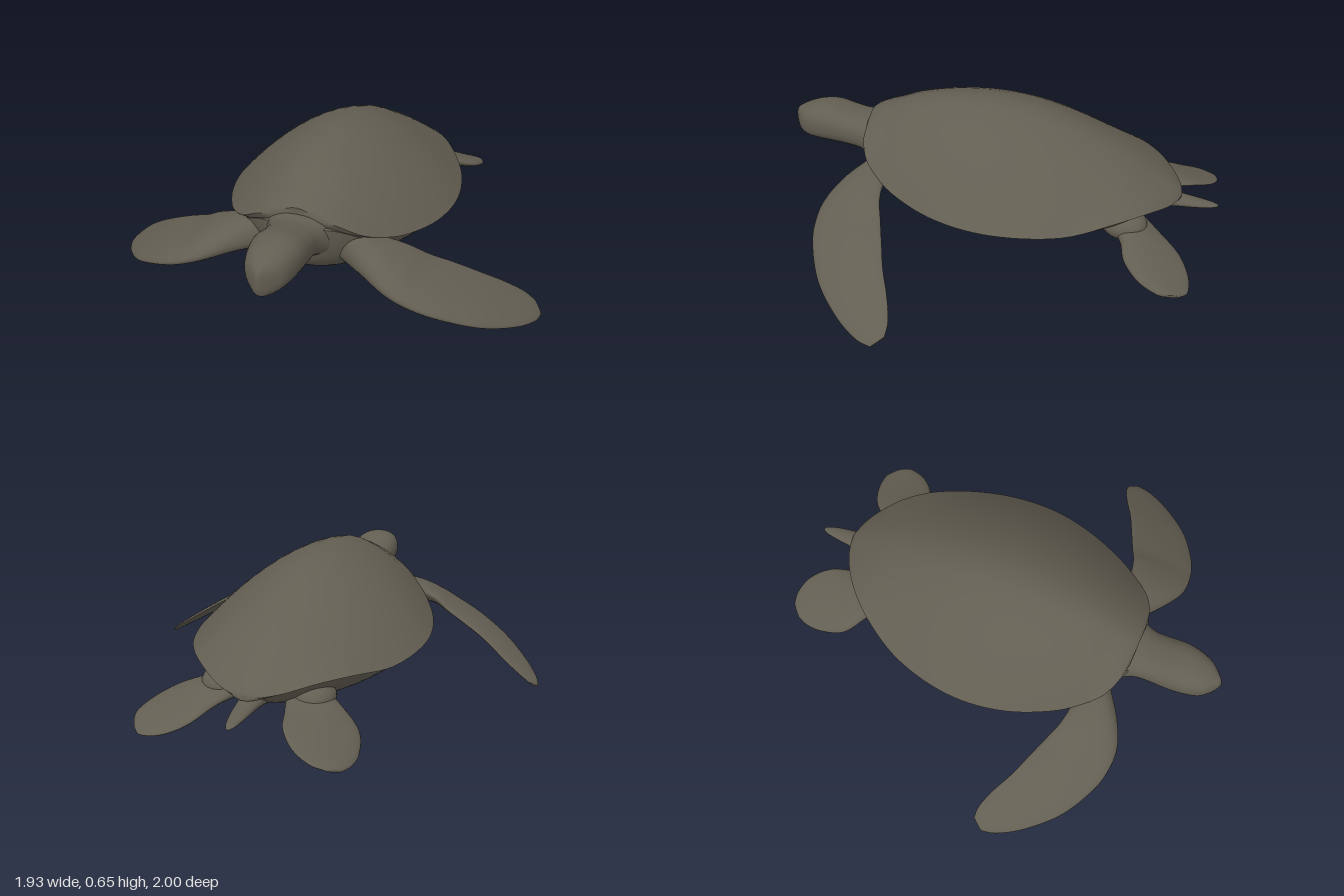
import * as THREE from 'three';
import { toCreasedNormals } from 'three/addons/utils/BufferGeometryUtils.js';

const skin = new THREE.MeshStandardMaterial({ color: 0x635e52 });
skin.name = 'olive grey';

// Smoothly resample a list of stations (rows of numbers)
function resample(rows, count) {
  const size = rows[0].length;
  const curve = new THREE.CubicInterpolant(rows.map((_, i) => i), rows.flat(), size);
  return Array.from({ length: count + 1 }, (_, i) =>
    Array.from(curve.evaluate((i / count) * (rows.length - 1))));
}

// Closed surface through rings of equal length, capped at both ends
function loft(rings) {
  const n = rings[0].length;
  const pts = rings.flat();
  const index = [];
  const last = (rings.length - 1) * n;
  for (let i = 0; i < rings.length - 1; i++) {
    for (let j = 0; j < n; j++) {
      const a = i * n + j, b = i * n + ((j + 1) % n);
      index.push(a, b, a + n, b, b + n, a + n);
    }
  }
  const middle = (ring) => ring.reduce((s, p) => s.add(p), new THREE.Vector3()).divideScalar(n);
  const c0 = pts.push(middle(rings[0])) - 1;
  const c1 = pts.push(middle(rings[rings.length - 1])) - 1;
  for (let j = 0; j < n; j++) {
    const k = (j + 1) % n;
    index.push(c0, k, j, c1, last + j, last + k);
  }
  // Turn the faces outward if the enclosed volume is negative
  let volume = 0;
  const cross = new THREE.Vector3();
  for (let i = 0; i < index.length; i += 3) {
    volume += pts[index[i]].dot(cross.crossVectors(pts[index[i + 1]], pts[index[i + 2]]));
  }
  if (volume < 0) index.reverse();
  const geo = new THREE.BufferGeometry().setFromPoints(pts);
  geo.setIndex(index);
  geo.computeVertexNormals();
  return geo;
}

// Half of a hull section: rises (or falls) from the rim by a power curve
function hull(rows, power, lip) {
  const half = 28;
  return loft(resample(rows, 64).map(([z, w, rim, peak]) => {
    const ring = [];
    for (let j = 0; j <= half; j++) {
      const u = -Math.cos((j / half) * Math.PI);
      ring.push(new THREE.Vector3(u * w, rim + (peak - rim) * (1 - Math.abs(u) ** power), z));
    }
    for (let j = 1; j < 8; j++) ring.push(new THREE.Vector3(w * 0.96 * (1 - j / 4), rim + lip, z));
    return ring;
  }));
}

// Rounded tube along z: rows of z, x, y, half width, half height
function tube(rows, squareness) {
  const bend = (v) => Math.sign(v) * Math.abs(v) ** squareness;
  return loft(resample(rows, 48).map(([z, x, y, w, h]) =>
    Array.from({ length: 32 }, (_, j) => {
      const a = (j / 32) * Math.PI * 2;
      return new THREE.Vector3(x + bend(Math.cos(a)) * w, y + bend(Math.sin(a)) * h, z);
    })));
}

// Flipper: rows of leading edge xyz, trailing edge xyz, half thickness
function flipper(rows) {
  const rings = resample(rows, 48);
  const mid = (r) => new THREE.Vector3(r[0] + r[3], r[1] + r[4], r[2] + r[5]).multiplyScalar(0.5);
  const span = mid(rings[rings.length - 1]).sub(mid(rings[0]));
  return loft(rings.map((r) => {
    const chord = new THREE.Vector3(r[0] - r[3], r[1] - r[4], r[2] - r[5]);
    const normal = new THREE.Vector3().crossVectors(chord, span).normalize();
    return Array.from({ length: 28 }, (_, j) => {
      const a = (j / 28) * Math.PI * 2;
      const c = Math.cos(a);
      return mid(r).addScaledVector(chord, c / 2)
        .addScaledVector(normal, Math.sin(a) * r[6] * (1 + 0.25 * c));
    });
  }));
}

const mirrorRows = (rows) => rows.map((r) => [-r[0], r[1], r[2], -r[3], r[4], r[5], r[6]]);

export function createModel() {
  const model = new THREE.Group();
  model.name = 'seaTurtle';
  const add = (name, geo) => {
    const mesh = new THREE.Mesh(geo, skin);
    mesh.name = name;
    model.add(mesh);
    return mesh;
  };

  // Domed upper shell: z, half width, rim height, crest height
  add('upperShell', toCreasedNormals(hull([
    [0.605, 0.1, 0.475, 0.515], [0.59, 0.18, 0.45, 0.525], [0.55, 0.26, 0.405, 0.545],
    [0.48, 0.325, 0.37, 0.572], [0.38, 0.395, 0.34, 0.61], [0.2, 0.475, 0.315, 0.645],
    [0, 0.515, 0.305, 0.652], [-0.2, 0.505, 0.302, 0.62], [-0.4, 0.45, 0.305, 0.55],
    [-0.58, 0.35, 0.33, 0.465], [-0.7, 0.248, 0.33, 0.395], [-0.78, 0.15, 0.31, 0.345],
    [-0.82, 0.075, 0.298, 0.316], [-0.835, 0.02, 0.293, 0.3],
  ], 1.7, -0.015), 0.7));

  // Belly, bulging down from the shell rim
  add('belly', hull([
    [0.62, 0.09, 0.44, 0.31], [0.59, 0.17, 0.43, 0.255], [0.53, 0.26, 0.385, 0.205],
    [0.45, 0.33, 0.36, 0.165], [0.36, 0.39, 0.335, 0.145], [0.2, 0.455, 0.31, 0.13],
    [0, 0.495, 0.3, 0.125], [-0.2, 0.485, 0.298, 0.13], [-0.4, 0.43, 0.3, 0.142],
    [-0.56, 0.34, 0.32, 0.165], [-0.68, 0.235, 0.32, 0.205], [-0.76, 0.14, 0.305, 0.25],
    [-0.81, 0.05, 0.293, 0.28],
  ], 2.5, 0.008));

  // Neck and blunt beaked head
  add('headAndNeck', tube([
    [0.42, 0, 0.36, 0.24, 0.13], [0.52, 0, 0.375, 0.2, 0.115], [0.59, 0, 0.39, 0.14, 0.098],
    [0.65, 0, 0.398, 0.112, 0.085], [0.72, 0, 0.41, 0.109, 0.086], [0.8, 0, 0.422, 0.11, 0.092],
    [0.87, 0, 0.42, 0.1, 0.09], [0.93, 0, 0.412, 0.08, 0.08], [0.97, 0, 0.406, 0.046, 0.068],
    [0.99, 0, 0.405, 0.022, 0.053], [1, 0, 0.405, 0.006, 0.025],
  ], 0.85));

  // Long front flippers, swept out and down
  const front = [
    [0.16, 0.32, 0.55, 0.2, 0.34, 0.4, 0.08], [0.29, 0.29, 0.645, 0.32, 0.35, 0.44, 0.055],
    [0.4, 0.25, 0.7, 0.42, 0.325, 0.43, 0.04], [0.5, 0.212, 0.707, 0.5, 0.28, 0.4, 0.032],
    [0.61, 0.17, 0.68, 0.6, 0.235, 0.36, 0.027], [0.76, 0.105, 0.595, 0.7, 0.185, 0.32, 0.022],
    [0.88, 0.048, 0.47, 0.8, 0.125, 0.268, 0.017], [0.948, 0.015, 0.36, 0.88, 0.075, 0.238, 0.012],
    [0.967, 0.006, 0.29, 0.93, 0.04, 0.237, 0.006],
  ];
  add('leftFrontFlipper', flipper(front));
  add('rightFrontFlipper', flipper(mirrorRows(front)));

  // Rear paddles, caught mid-stroke in different poses
  add('leftRearFlipper', flipper([
    [0.2, 0.23, -0.55, 0.11, 0.22, -0.68, 0.05], [0.31, 0.22, -0.61, 0.17, 0.19, -0.76, 0.038],
    [0.4, 0.19, -0.64, 0.24, 0.14, -0.86, 0.03], [0.47, 0.155, -0.71, 0.33, 0.105, -0.912, 0.024],
    [0.5, 0.13, -0.79, 0.42, 0.092, -0.92, 0.017], [0.495, 0.12, -0.835, 0.465, 0.1, -0.89, 0.007],
  ]));
  add('rightRearFlipper', flipper([
    [-0.2, 0.23, -0.53, -0.1, 0.23, -0.66, 0.05], [-0.32, 0.2, -0.61, -0.14, 0.22, -0.77, 0.038],
    [-0.42, 0.15, -0.69, -0.18, 0.215, -0.88, 0.028], [-0.457, 0.122, -0.8, -0.25, 0.185, -0.96, 0.021],
    [-0.458, 0.118, -0.88, -0.33, 0.155, -0.99, 0.015], [-0.44, 0.12, -0.935, -0.39, 0.138, -0.983, 0.006],
  ]));

  // Hips joining the rear paddles to the belly
  for (const side of [1, -1]) {
    const hip = add(side > 0 ? 'leftHip' : 'rightHip', new THREE.SphereGeometry(1, 24, 16));
    hip.scale.set(0.09, 0.065, 0.1);
    hip.position.set(side * 0.2, 0.235, -0.61);
  }

  // Short pointed tail
  add('tail', tube([
    [-0.58, 0, 0.24, 0.09, 0.06], [-0.7, 0, 0.25, 0.065, 0.045], [-0.8, -0.005, 0.252, 0.046, 0.028],
    [-0.9, -0.008, 0.247, 0.034, 0.018], [-0.97, -0.012, 0.243, 0.021, 0.01],
    [-1, -0.014, 0.241, 0.008, 0.004],
  ], 1));

  return model;
}
